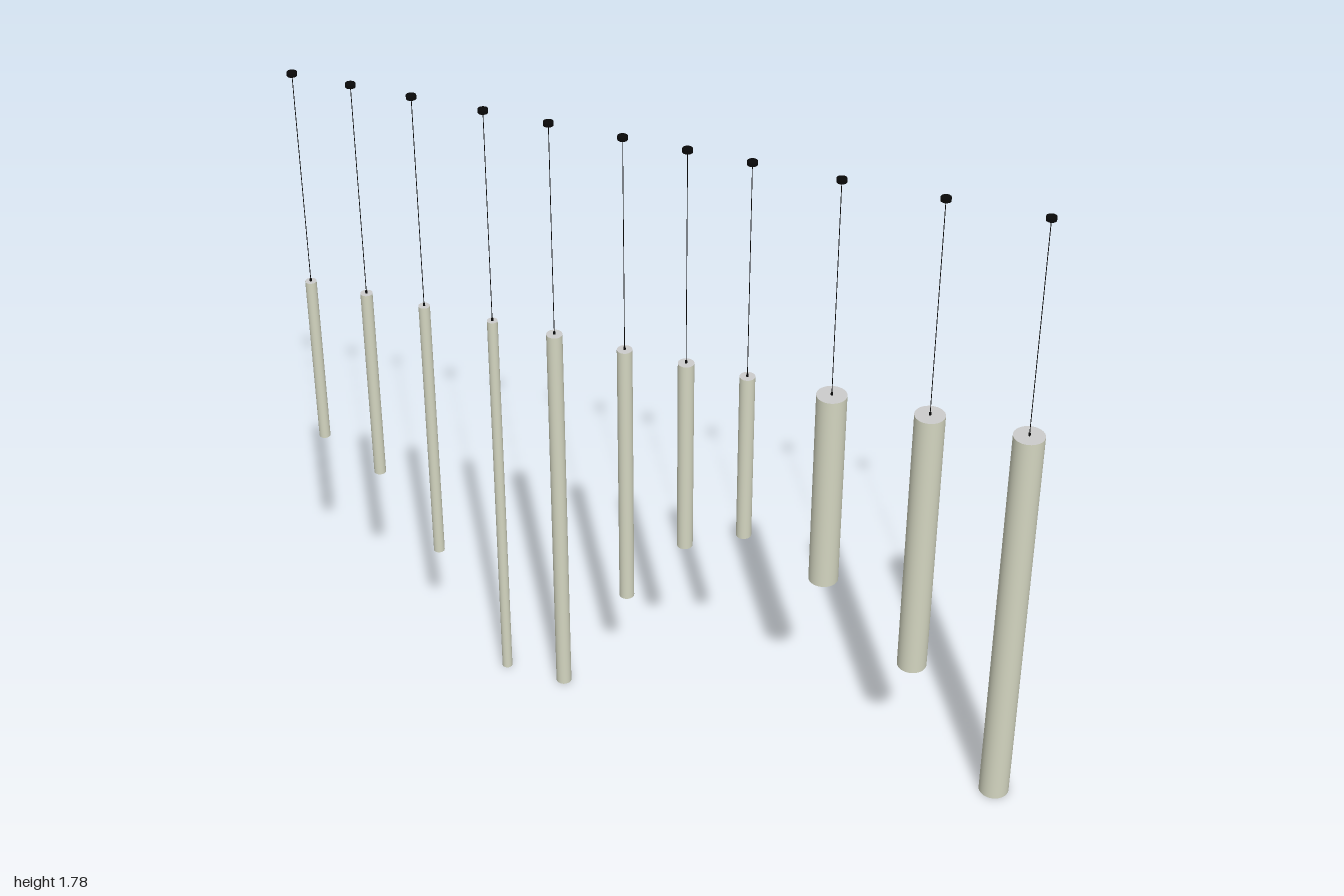
import * as THREE from 'three';

// One pendant per row: x, z, tube radius, tube bottom
const PENDANTS = [
  [-0.985, 0.003, 0.015, 0.665],
  [-0.822, 0.003, 0.016, 0.585],
  [-0.655, 0.003, 0.015, 0.36],
  [-0.461, 0.003, 0.014, 0],
  [-0.287, 0.003, 0.021, 0],
  [-0.093, 0.003, 0.02, 0.365],
  [0.074, 0.003, 0.021, 0.585],
  [0.238, 0.003, 0.02, 0.665],
  [0.46, 0.003, 0.039, 0.585],
  [0.711, -0.003, 0.039, 0.365],
  [0.96, -0.007, 0.04, 0],
];
const TUBE_TOP = 1.165;
const CEILING = 1.782;

export function createModel() {
  const model = new THREE.Group();
  const shade = new THREE.MeshStandardMaterial({ color: 0xd3d5c0 });
  const cap = new THREE.MeshStandardMaterial({ color: 0xcccccc });
  const black = new THREE.MeshStandardMaterial({ color: 0x080808 });

  // Upright cylinder between two heights
  const rod = (name, radius, bottom, top, material, sides = 32) => {
    const mesh = new THREE.Mesh(
      new THREE.CylinderGeometry(radius, radius, top - bottom, sides), material);
    mesh.name = name;
    mesh.position.y = (top + bottom) / 2;
    return mesh;
  };

  PENDANTS.forEach(([x, z, radius, bottom], i) => {
    const pendant = new THREE.Group();
    pendant.name = `pendant${i + 1}`;
    pendant.position.set(x, 0, z);
    pendant.add(
      rod('tubeShade', radius, bottom, TUBE_TOP, [shade, cap, cap]),
      rod('cableGrip', 0.003, TUBE_TOP, TUBE_TOP + 0.007, black, 12),
      rod('cable', 0.001, TUBE_TOP, CEILING - 0.005, black, 8),
      rod('ceilingMount', 0.013, CEILING - 0.01, CEILING, black, 24),
    );
    model.add(pendant);
  });
  return model;
}
